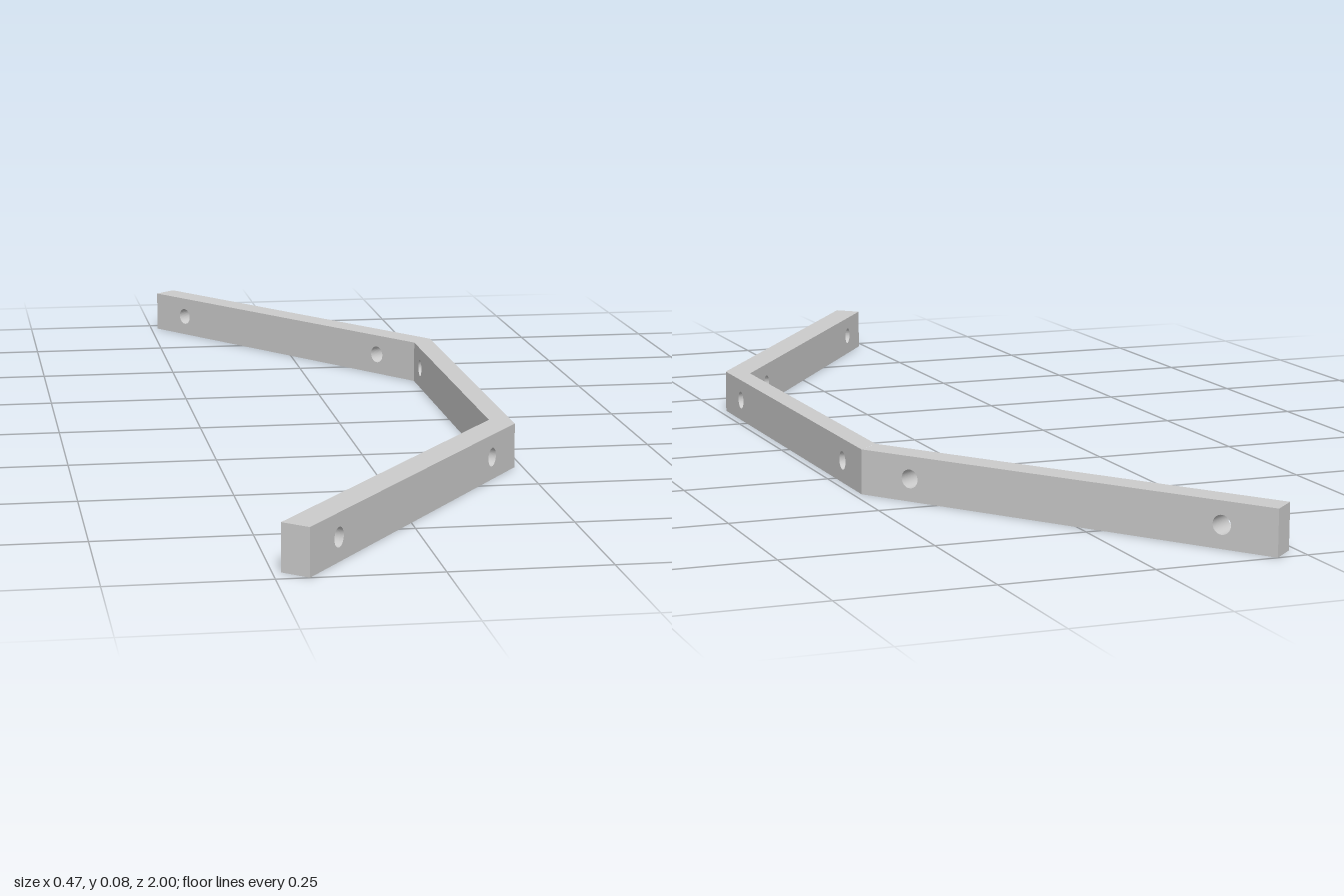
import * as THREE from 'three';

const HEIGHT = 0.075, HOLE_RADIUS = 0.0155, HOLE_INSET = 0.095;

// Straight bar between two outer corners [x, z]. Its inner face is slid along
// the bar by skewA / skewB at the ends; ends that meet another bar stay open.
function bar(name, a, b, thickness, skewA, skewB, openA, openB) {
  const along = new THREE.Vector3(b[0] - a[0], 0, b[1] - a[1]);
  const length = along.length();
  along.normalize();

  // Face with two bolt holes
  const face = new THREE.Shape();
  face.moveTo(0, 0).lineTo(length, 0).lineTo(length, HEIGHT).lineTo(0, HEIGHT).closePath();
  for (const s of [HOLE_INSET, length - HOLE_INSET]) {
    face.holes.push(new THREE.Path().absarc(s, HEIGHT / 2, HOLE_RADIUS, 0, Math.PI * 2, true));
  }
  const solid = new THREE.ExtrudeGeometry(face, { depth: thickness, bevelEnabled: false, curveSegments: 32 });

  // Drop the hidden joint faces and angle the ends
  const p = solid.attributes.position, kept = [];
  for (let i = 0; i < p.count; i += 3) {
    const tri = [0, 1, 2].map(k => new THREE.Vector3().fromBufferAttribute(p, i + k));
    if (openA && tri.every(v => v.x < 1e-5)) continue;
    if (openB && tri.every(v => v.x > length - 1e-5)) continue;
    for (const v of tri) {
      if (v.z > thickness / 2) {
        if (v.x < 1e-5) v.x += skewA;
        else if (v.x > length - 1e-5) v.x += skewB;
      }
      kept.push(v.x, v.y, v.z);
    }
  }
  const geometry = new THREE.BufferGeometry();
  geometry.setAttribute('position', new THREE.Float32BufferAttribute(kept, 3));
  const up = new THREE.Vector3(0, 1, 0);
  const inward = new THREE.Vector3().crossVectors(along, up);
  geometry.applyMatrix4(new THREE.Matrix4().makeBasis(along, up, inward).setPosition(a[0], 0, a[1]));
  geometry.computeVertexNormals();

  const mesh = new THREE.Mesh(geometry, new THREE.MeshStandardMaterial({ color: 0xcccccc, flatShading: true }));
  mesh.name = name;
  return mesh;
}

export function createModel() {
  const group = new THREE.Group();
  group.name = 'bentBracket';
  // Outer corners from the back end to the front end
  const backEnd = [-0.2, -1], backBend = [0.236, -0.38], frontBend = [0.236, 0.38], frontEnd = [-0.2, 1];
  group.add(
    bar('backArm', backEnd, backBend, 0.05, 0.007, 0.007, false, true),
    bar('middleBar', backBend, frontBend, 0.037, 0.035, -0.035, true, true),
    bar('frontArm', frontBend, frontEnd, 0.05, -0.007, -0.007, true, false)
  );
  return group;
}
